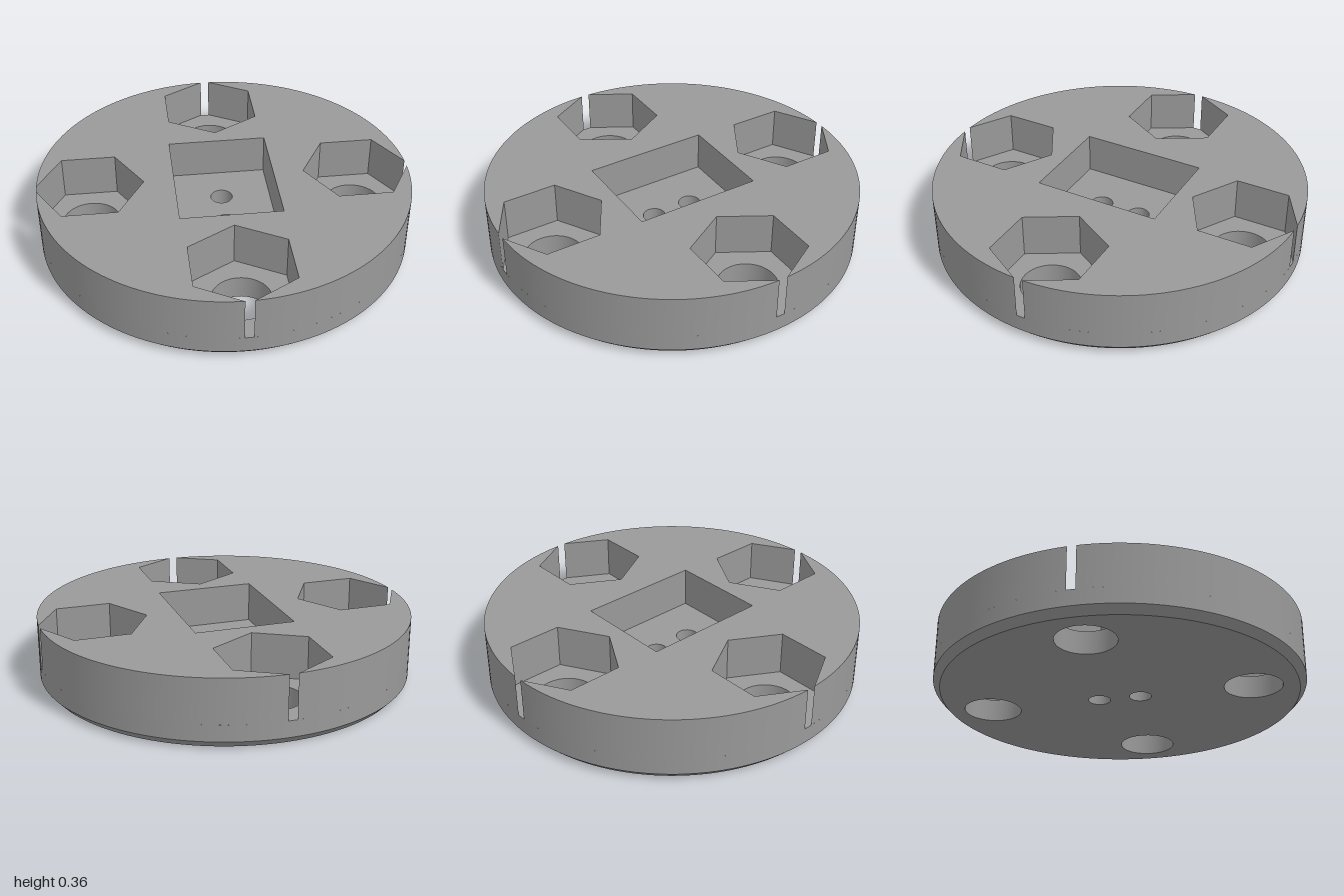
import * as THREE from 'three';

const HEIGHT = 0.36, CHAMFER_Y = 0.04, BASE_R = 0.963;
const HEX_FLOOR = 0.126, CENTRE_FLOOR = 0.14;
const HEX_DIST = 0.722, HEX_R = 0.291, BOLT_R = 0.155, WIRE_R = 0.06;
const NOTCH = 0.02297; // half angle of the slot where a hex pocket breaks the rim

// Plan points are (x, -z), so counter-clockwise outlines face outward.
const polar = (r, a, cx = 0, cy = 0) =>
  new THREE.Vector2(cx + r * Math.cos(a), cy + r * Math.sin(a));

function arc(r, from, to, n, cx = 0, cy = 0) {
  return Array.from({ length: n + 1 }, (_, i) => polar(r, from + (to - from) * i / n, cx, cy));
}

const circle = (r, n, c = new THREE.Vector2()) => arc(r, 0, Math.PI * 2, n, c.x, c.y).slice(0, n);

// Upright wall along a plan outline
function wall(points, y0, y1, smooth, closed) {
  const pos = [], index = [], n = points.length;
  for (const p of points) pos.push(p.x, y0, -p.y, p.x, y1, -p.y);
  for (let i = 0; i < (closed ? n : n - 1); i++) {
    const a = 2 * i, b = 2 * ((i + 1) % n);
    index.push(a, b, b + 1, a, b + 1, a + 1);
  }
  let g = new THREE.BufferGeometry();
  g.setAttribute('position', new THREE.Float32BufferAttribute(pos, 3));
  g.setIndex(index);
  if (!smooth) g = g.toNonIndexed();
  g.computeVertexNormals();
  return g;
}

// Horizontal face with holes, facing up or down
function face(outline, holes, y, up = true) {
  const flip = (pts) => pts.map((p) => new THREE.Vector2(p.x, up ? p.y : -p.y));
  const shape = new THREE.Shape(flip(outline));
  for (const h of holes) shape.holes.push(new THREE.Path(flip(h)));
  return new THREE.ShapeGeometry(shape).rotateX(up ? -Math.PI / 2 : Math.PI / 2).translate(0, y, 0);
}

export function createModel() {
  const group = new THREE.Group();
  const grey = new THREE.MeshStandardMaterial({ color: 0x999999 });
  grey.name = 'grey';
  const add = (name, geometry) => {
    const mesh = new THREE.Mesh(geometry, grey);
    mesh.name = name;
    group.add(mesh);
  };

  const topOutline = [], boltHoles = [];

  // Four hexagonal nut pockets, each cutting a thin slot in the rim
  for (let k = 0; k < 4; k++) {
    const t = Math.PI / 4 + k * Math.PI / 2;
    const c = polar(HEX_DIST, t);
    const pocket = [polar(1, t - NOTCH)];
    for (let i = 1; i <= 5; i++) pocket.push(polar(HEX_R, t - i * Math.PI / 3, c.x, c.y));
    pocket.push(polar(1, t + NOTCH));
    const rim = arc(1, t + NOTCH, t + Math.PI / 2 - NOTCH, 36);
    topOutline.push(...pocket, ...rim.slice(1, -1));

    const hole = circle(BOLT_R, 48, c);
    boltHoles.push(hole);
    add('hexPocketWall', wall(pocket, HEX_FLOOR, HEIGHT, false, false));
    add('hexPocketFloor', face([...pocket, polar(1, t)], [hole], HEX_FLOOR));
    add('boltHole', wall([...hole].reverse(), 0, HEX_FLOOR, true, true));
    add('upperRim', wall(rim, HEX_FLOOR, HEIGHT, true, false));
  }

  // Rectangular centre pocket with two small through holes
  const a = 0.053, b = 0.433;
  const centre = [[-a, b], [b, -a], [a, -b], [-b, a]].map(([x, y]) => new THREE.Vector2(x, y));
  const wireHoles = [-1, 1].map((s) => circle(WIRE_R, 32, new THREE.Vector2(s * 0.08, -s * 0.08)));
  add('centrePocketWall', wall(centre, CENTRE_FLOOR, HEIGHT, false, true));
  add('centrePocketFloor', face(centre, wireHoles, CENTRE_FLOOR));
  for (const h of wireHoles) add('wireHole', wall([...h].reverse(), 0, CENTRE_FLOOR, true, true));

  // Disc body: top, lower rim, chamfer and underside
  add('topFace', face(topOutline, [centre], HEIGHT));
  add('lowerRim', wall(circle(1, 144), CHAMFER_Y, HEX_FLOOR, true, true));
  add('chamfer', new THREE.CylinderGeometry(1, BASE_R, CHAMFER_Y, 144, 1, true)
    .translate(0, CHAMFER_Y / 2, 0));
  add('underside', face(circle(BASE_R, 144), [...boltHoles, ...wireHoles], 0, false));

  return group;
}
